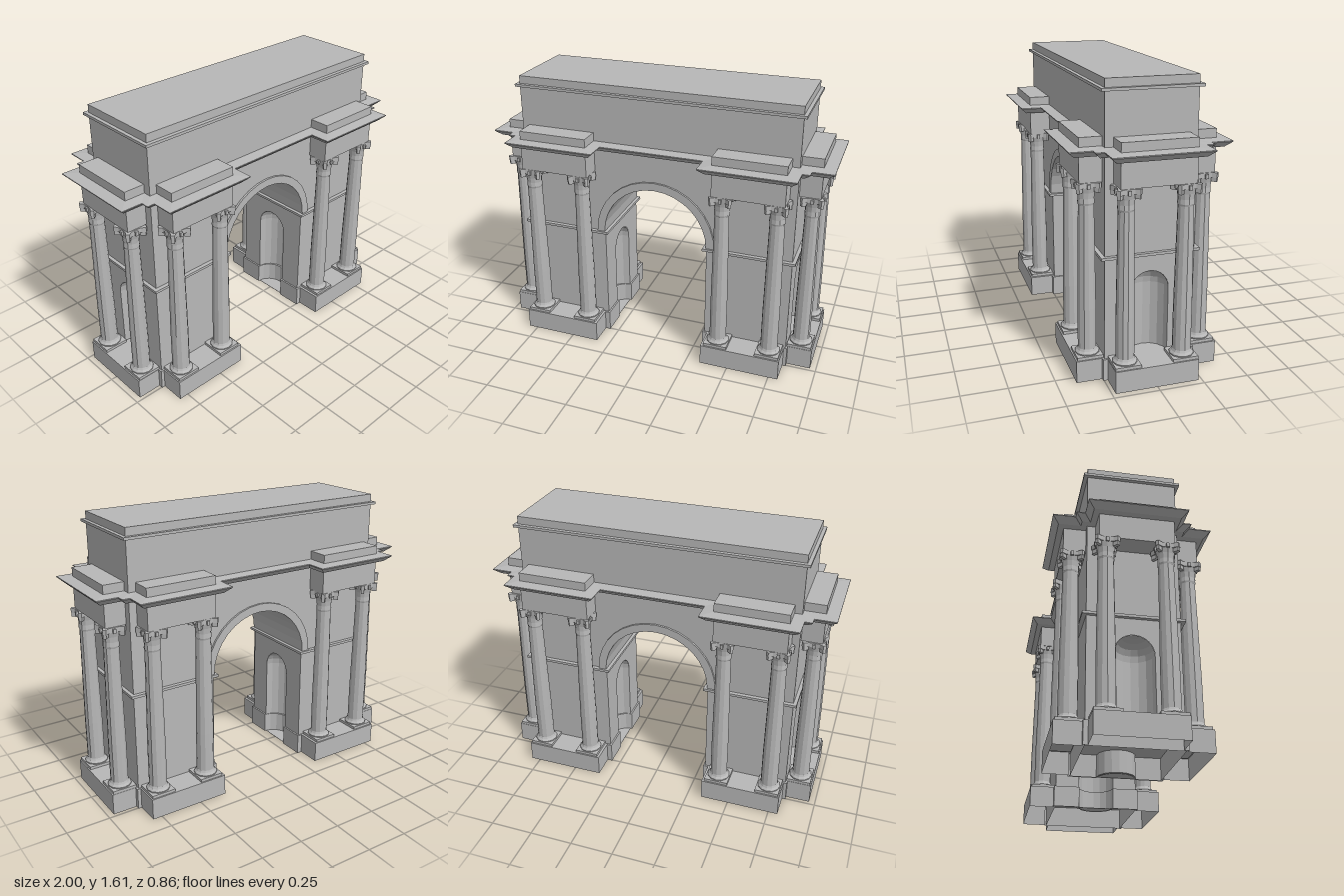
import * as THREE from 'three';

const stone = new THREE.MeshStandardMaterial({ color: 0xb8b8b8 });
stone.name = 'stone';
stone.flatShading = true;
stone.side = THREE.DoubleSide;

function add(parent, name, geometry, x = 0, y = 0, z = 0, ry = 0) {
  const mesh = new THREE.Mesh(geometry, stone);
  mesh.name = name;
  mesh.position.set(x, y, z);
  mesh.rotation.y = ry;
  parent.add(mesh);
  return mesh;
}

// Box given by its ranges
function block(parent, name, x0, x1, y0, y1, z0, z1) {
  return add(parent, name, new THREE.BoxGeometry(x1 - x0, y1 - y0, z1 - z0),
    (x0 + x1) / 2, (y0 + y1) / 2, (z0 + z1) / 2);
}

// Sweep a right-angled plan outline through [offset, height] rings, closed on top
function loft(plan, rings) {
  const n = plan.length, pos = [], index = [];
  const normal = (a, b) => {
    const l = Math.hypot(b[0] - a[0], b[1] - a[1]);
    return [(b[1] - a[1]) / l, (a[0] - b[0]) / l];
  };
  for (const [offset, y] of rings) {
    plan.forEach((p, i) => {
      const a = normal(plan[(i + n - 1) % n], p), b = normal(p, plan[(i + 1) % n]);
      pos.push(p[0] + offset * (a[0] + b[0]), y, p[1] + offset * (a[1] + b[1]));
    });
  }
  for (let r = 0; r < rings.length - 1; r++) {
    for (let i = 0; i < n; i++) {
      const a = r * n + i, b = r * n + (i + 1) % n;
      index.push(a, a + n, b, b, a + n, b + n);
    }
  }
  const top = (rings.length - 1) * n;
  const contour = plan.map((p, i) => new THREE.Vector2(pos[(top + i) * 3], pos[(top + i) * 3 + 2]));
  for (const [a, b, c] of THREE.ShapeUtils.triangulateShape(contour, [])) {
    index.push(top + a, top + c, top + b);
  }
  const g = new THREE.BufferGeometry();
  g.setAttribute('position', new THREE.Float32BufferAttribute(pos, 3));
  g.setIndex(index);
  const flat = g.toNonIndexed();
  flat.computeVertexNormals();
  return flat;
}

const W = 0.815, D = 0.245, H = 1.605;       // body half width, half depth, height
const ARCH = 0.315, SPRING = 0.7;            // passage half width, arch spring height
const NICHE = 0.105, NICHE_SPRING = 0.49;

// Wall in the side plane with a round-headed niche opening
function nicheWall(height, floor) {
  const s = new THREE.Shape();
  s.moveTo(-D, 0).lineTo(D, 0).lineTo(D, height).lineTo(-D, height).closePath();
  const h = new THREE.Path();
  h.moveTo(-NICHE, floor).lineTo(NICHE, floor).lineTo(NICHE, NICHE_SPRING);
  h.absarc(0, NICHE_SPRING, NICHE, 0, Math.PI, false);
  h.closePath();
  s.holes.push(h);
  return new THREE.ShapeGeometry(s, 8);
}

// Half-round niche with a quarter-sphere head
function nicheHollow(floor, phiStart) {
  const pts = [new THREE.Vector2(0, floor), new THREE.Vector2(NICHE, floor)];
  for (let i = 0; i <= 5; i++) {
    const t = i / 5 * Math.PI / 2;
    pts.push(new THREE.Vector2(NICHE * Math.cos(t), NICHE_SPRING + NICHE * Math.sin(t)));
  }
  return new THREE.LatheGeometry(pts, 8, phiStart, Math.PI);
}

// Column: plinth, tapered shaft with bell, concave abacus with corner scrolls
const shaftGeometry = new THREE.LatheGeometry([
  [0.066, 0.138], [0.066, 0.146], [0.055, 0.158], [0.05, 0.17], [0.05, 0.4], [0.042, 0.965],
  [0.045, 0.975], [0.043, 1.0], [0.046, 1.03], [0.054, 1.062],
].map(p => new THREE.Vector2(...p)), 12);
const abacusShape = new THREE.Shape();
for (let i = 0; i < 4; i++) {
  const c = Math.cos(i * Math.PI / 2), s = Math.sin(i * Math.PI / 2);
  for (const [x, y] of [[0.066, -0.052], [0.052, -0.03], [0.048, 0], [0.052, 0.03], [0.066, 0.052]]) {
    const px = x * c - y * s, py = x * s + y * c;
    if (i === 0 && y === -0.052) abacusShape.moveTo(px, py);
    else abacusShape.lineTo(px, py);
  }
}
const abacusGeometry = new THREE.ExtrudeGeometry(abacusShape, { depth: 0.027, bevelEnabled: false });
abacusGeometry.rotateX(-Math.PI / 2);

function column(parent, x, z) {
  const g = new THREE.Group();
  g.name = 'column';
  g.position.set(x, 0, z);
  block(g, 'columnPlinth', -0.07, 0.07, 0.12, 0.14, -0.07, 0.07);
  add(g, 'columnShaft', shaftGeometry);
  add(g, 'abacus', abacusGeometry, 0, 1.058, 0);
  for (let i = 0; i < 4; i++) {
    const a = i * Math.PI / 2, d = a + Math.PI / 4;
    add(g, 'cornerScroll', new THREE.BoxGeometry(0.03, 0.026, 0.018),
      0.066 * Math.cos(d), 1.048, 0.066 * Math.sin(d), -d);
    add(g, 'capitalFlower', new THREE.BoxGeometry(0.016, 0.024, 0.016),
      0.052 * Math.cos(a), 1.066, 0.052 * Math.sin(a), -a);
  }
  parent.add(g);
}

// One pier with its base, niches, string course and columns, on the +x side
function pier() {
  const g = new THREE.Group();
  g.name = 'pier';
  const half = [[0.965, 0.23], [0.825, 0.23], [0.825, 0.255], [0.805, 0.255],
    [0.805, 0.395], [0.335, 0.395], [0.335, 0.255], [0.305, 0.255]];
  const notch = [];
  for (let i = 0; i <= 8; i++) {
    const t = i / 8 * Math.PI;
    notch.push([0.305 + 0.103 * Math.sin(t), 0.103 * Math.cos(t)]);
  }
  const plan = [...half, ...notch, ...half.map(([x, z]) => [x, -z]).reverse()];
  add(g, 'pedestal', loft(plan, [[0, 0], [0, 0.123]]));

  add(g, 'sideWall', nicheWall(H, 0.123), W, 0, 0, Math.PI / 2);
  add(g, 'sideNiche', nicheHollow(0.123, Math.PI), W);
  add(g, 'passageWall', nicheWall(SPRING, 0.002), ARCH, 0, 0, -Math.PI / 2);
  add(g, 'passageNiche', nicheHollow(0.002, 0), ARCH);

  // String course as four strips around the pier
  const y0 = 0.686, y1 = 0.701;
  for (const s of [-1, 1]) {
    block(g, 'stringCourse', 0.295, 0.835, y0, y1, s * 0.256 - 0.012, s * 0.256 + 0.012);
  }
  block(g, 'stringCourse', 0.295, 0.317, y0, y1, -0.244, 0.244);
  block(g, 'stringCourse', 0.813, 0.835, y0, y1, -0.244, 0.244);

  for (const s of [-1, 1]) {
    column(g, 0.42, s * 0.317);
    column(g, 0.728, s * 0.317);
    column(g, 0.888, s * 0.158);
  }
  return g;
}

export function createModel() {
  const model = new THREE.Group();
  model.name = 'triumphalArch';

  const left = pier(), right = pier();
  right.rotation.y = Math.PI;
  model.add(left, right);

  // Front and back walls with the arched opening, each with a raised arch moulding
  const wall = new THREE.Shape();
  wall.moveTo(-W, 0).lineTo(-ARCH, 0).lineTo(-ARCH, SPRING);
  wall.absarc(0, SPRING, ARCH, Math.PI, 0, true);
  wall.lineTo(ARCH, 0).lineTo(W, 0).lineTo(W, H).lineTo(-W, H).closePath();
  const ring = new THREE.Shape();
  ring.absarc(0, SPRING, 0.362, 0, Math.PI, false);
  ring.absarc(0, SPRING, ARCH, Math.PI, 0, true);
  ring.closePath();
  const ringGeometry = new THREE.ExtrudeGeometry(ring, { depth: 0.012, bevelEnabled: false, curveSegments: 8 });
  for (const s of [1, -1]) {
    const ry = s > 0 ? 0 : Math.PI;
    add(model, 'facadeWall', new THREE.ShapeGeometry(wall, 8), 0, 0, s * D, ry);
    add(model, 'archMoulding', ringGeometry, 0, 0, s * D, ry);
  }

  // Barrel vault over the passage
  const vault = new THREE.CylinderGeometry(ARCH, ARCH, 2 * D, 16, 1, true, Math.PI / 2, Math.PI);
  vault.rotateX(Math.PI / 2);
  add(model, 'vault', vault, 0, SPRING, 0);

  // Attic top and band
  block(model, 'atticTop', -W, W, H - 0.02, H, -D, D);
  block(model, 'atticBand', -0.835, 0.835, 1.545, 1.56, -0.267, 0.267);

  // Projecting entablature blocks above the columns
  for (const s of [-1, 1]) {
    block(model, 'entablature', s * 0.57 - 0.203, s * 0.57 + 0.203, 1.085, 1.317, -0.365, 0.365);
  }
  block(model, 'sideEntablature', -0.933, 0.933, 1.085, 1.317, -0.2, 0.2);

  // Flared cornice following every projection
  const q = [[0.367, D], [0.367, 0.365], [0.773, 0.365], [0.773, D], [W, D], [W, 0.2], [0.935, 0.2]];
  const rev = [...q].reverse();
  const plan = [...rev, ...q.map(([x, z]) => [-x, z]),
    ...rev.map(([x, z]) => [-x, -z]), ...q.map(([x, z]) => [x, -z])];
  add(model, 'cornice', loft(plan,
    [[0, 1.222], [0.032, 1.226], [0.065, 1.257], [0.065, 1.262], [0, 1.268]]));
  return model;
}
